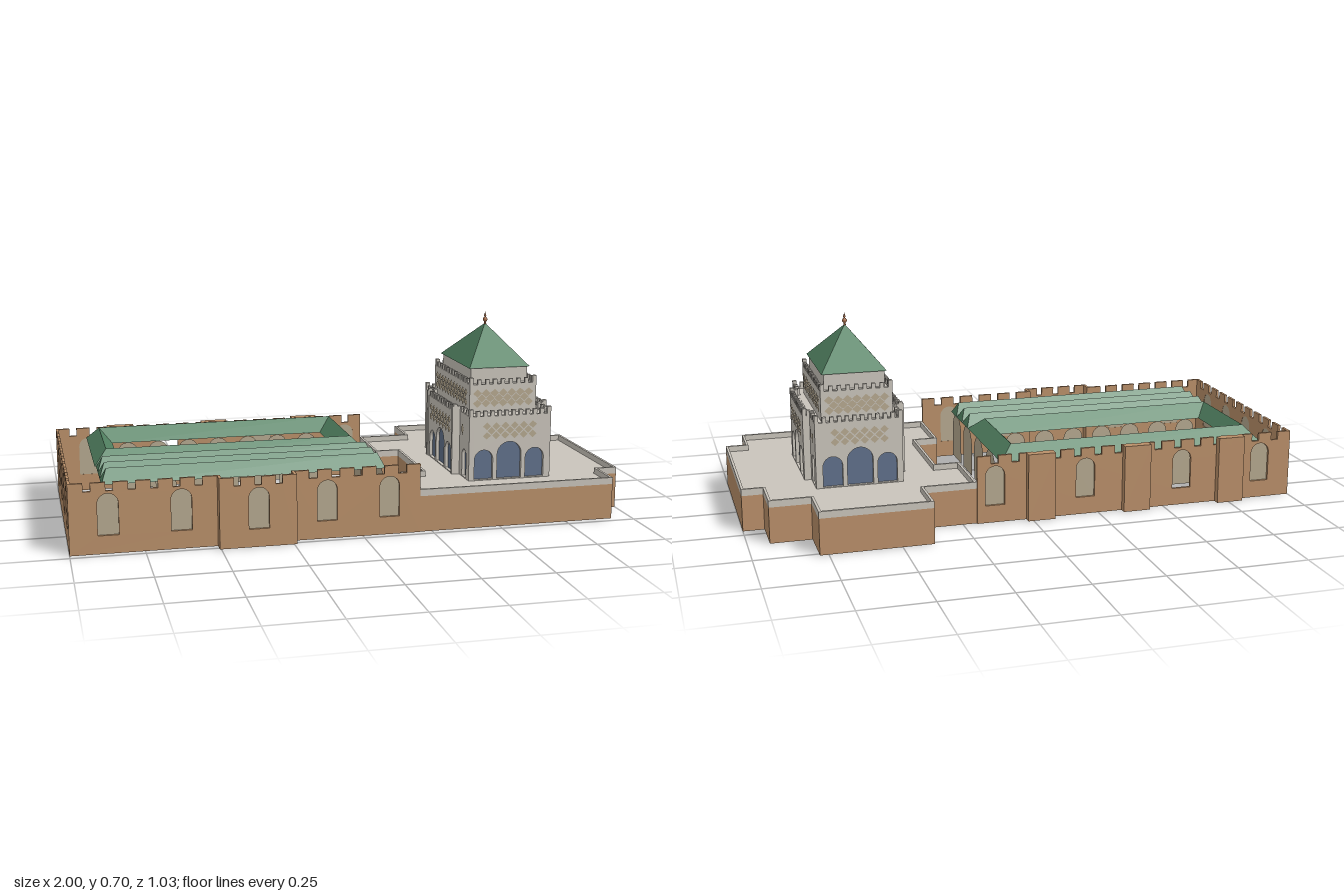
import * as THREE from 'three';

const mat = (name, color, side = THREE.FrontSide) => {
  const m = new THREE.MeshStandardMaterial({ color, side });
  m.name = name;
  return m;
};

export function createModel() {
  const root = new THREE.Group();
  root.name = 'walledMausoleum';
  const clay = mat('clayWall', 0xb98f69);
  const stone = mat('paleStone', 0xc9c4bb, THREE.DoubleSide);
  const sand = mat('sandPanel', 0xb5a88f, THREE.DoubleSide);
  const green = mat('greenTile', 0x528262, THREE.DoubleSide);
  const blue = mat('blueGlazing', 0x60708a);
  const copper = mat('copper', 0xa56c48);

  const add = (name, geo, m, parent = root) => {
    const mesh = new THREE.Mesh(geo, m);
    mesh.name = name;
    parent.add(mesh);
    return mesh;
  };
  const block = (name, m, x0, x1, y0, y1, z0, z1) =>
    add(name, new THREE.BoxGeometry(x1 - x0, y1 - y0, z1 - z0), m)
      .position.set((x0 + x1) / 2, (y0 + y1) / 2, (z0 + z1) / 2);

  // Flat polygons, each split as a fan
  const facets = (polys) => {
    const p = [];
    for (const q of polys)
      for (let i = 1; i < q.length - 1; i++) p.push(...q[0], ...q[i], ...q[i + 1]);
    const g = new THREE.BufferGeometry();
    g.setAttribute('position', new THREE.Float32BufferAttribute(p, 3));
    g.computeVertexNormals();
    return g;
  };

  // Round-headed opening
  const arch = (c, w, y0, y1) => {
    const s = new THREE.Shape();
    s.moveTo(c - w / 2, y0);
    s.lineTo(c + w / 2, y0);
    s.lineTo(c + w / 2, y1 - w / 2);
    s.absarc(c, y1 - w / 2, w / 2, 0, Math.PI, false);
    s.closePath();
    return s;
  };

  // Group whose local +z points along the given side; sign maps world coordinate to local x
  const FACES = {
    front: [0, 1], back: [Math.PI, -1], left: [Math.PI / 2, -1], right: [-Math.PI / 2, 1],
  };
  const onFace = (name, face, plane, centre) => {
    const g = new THREE.Group();
    g.name = name;
    g.rotation.y = FACES[face][0];
    if (face === 'front' || face === 'back') g.position.set(centre, 0, plane);
    else g.position.set(plane, 0, centre);
    root.add(g);
    return g;
  };

  // Crenellated wall from a to b with arched openings [centre, width, bottom, top, isOpen]
  function wall(name, m, face, plane, a, b, y0, y1, o) {
    const c = (a + b) / 2, L = Math.abs(b - a), sign = FACES[face][1];
    const g = onFace(name, face, plane, c);
    const s = new THREE.Shape();
    s.moveTo(-L / 2, y0);
    s.lineTo(L / 2, y0);
    const n = Math.max(2, Math.round(L / o.pitch)), step = (L - o.w) / (n - 1);
    for (let i = 0; i < n && L > o.w * 2; i++) {
      const x = L / 2 - i * step;
      s.lineTo(x, y1);
      s.lineTo(x, y1 + o.h);
      s.lineTo(x - o.w, y1 + o.h);
      s.lineTo(x - o.w, y1);
    }
    if (L <= o.w * 2) {
      s.lineTo(L / 2, y1 + o.h);
      s.lineTo(-L / 2, y1 + o.h);
    }
    s.closePath();
    for (const [p, w, b0, t0, open] of o.arches || []) {
      const hole = arch((p - c) * sign, w, b0, t0);
      s.holes.push(hole);
      if (o.fill && !open)
        add('nichePanel', new THREE.ShapeGeometry(hole), o.fill, g).position.z = -0.009;
    }
    const geo = new THREE.ExtrudeGeometry(s, { depth: o.depth, bevelEnabled: false, curveSegments: 10 });
    add('wallFace', geo.translate(0, 0, -o.depth), m, g);
  }

  // Staggered rows of diamond plates
  function lattice(face, plane, c, y, w, cols, rows, dw, dh) {
    const g = onFace('diamondLattice', face, plane, c), shapes = [];
    for (let r = 0; r < rows; r++) {
      const n = r % 2 ? cols - 1 : cols, pitch = w / cols;
      for (let i = 0; i < n; i++) {
        const x = (i - (n - 1) / 2) * pitch, v = y + (r - (rows - 1) / 2) * dh * 0.62;
        shapes.push(new THREE.Shape([[dw / 2, 0], [0, dh / 2], [-dw / 2, 0], [0, -dh / 2]]
          .map(([u, k]) => new THREE.Vector2(x + u, v + k))));
      }
    }
    add('diamonds', new THREE.ShapeGeometry(shapes), sand, g).position.z = 0.002;
  }

  // Raised platform: hollow clay base, stone floor and low parapet
  const outline = [[0.2, -0.355], [0.39, -0.355], [0.39, -0.515], [0.78, -0.515], [0.78, -0.357],
    [0.925, -0.357], [0.925, -0.21], [1, -0.21], [1, 0.335], [0.925, 0.335], [0.925, 0.472],
    [0.205, 0.472], [0.205, 0.22], [0.29, 0.22], [0.29, -0.107], [0.2, -0.107]]
    .map(([x, z]) => new THREE.Vector2(x, z));
  const inset = (t) => outline.map((p, i) => {
    const n = outline.length;
    const d1 = p.clone().sub(outline[(i + n - 1) % n]).normalize();
    const d2 = outline[(i + 1) % n].clone().sub(p).normalize();
    return new THREE.Vector2(p.x - (d1.y + d2.y) * t, p.y + (d1.x + d2.x) * t);
  });
  const slab = (name, m, y0, y1, outer, ring) => {
    const s = new THREE.Shape(inset(outer));
    if (ring) s.holes.push(new THREE.Path(inset(ring)));
    add(name, new THREE.ExtrudeGeometry(s, { depth: y1 - y0, bevelEnabled: false })
      .rotateX(Math.PI / 2).translate(0, y1, 0), m);
  };
  slab('platformBase', clay, 0, 0.128, 0, 0.006);
  slab('platformFloor', stone, 0.124, 0.131, 0.003);
  slab('platformParapet', stone, 0.128, 0.152, 0, 0.009);

  // Outer enclosure walls
  const outer = (face, plane, a, b, arches, depth = 0.01) =>
    wall('enclosureWall', clay, face, plane, a, b, 0, 0.216,
      { w: 0.05, pitch: 0.075, h: 0.029, depth, fill: sand,
        arches: arches.map(([p, open]) => [p, 0.07, 0.063, 0.207, open]) });
  outer('front', 0.475, -1, -0.505, [[-0.87], [-0.626]]);
  outer('front', 0.515, -0.505, -0.24, [[-0.37]]);
  outer('front', 0.475, -0.24, 0.205, [[-0.126], [0.095]]);
  outer('right', -0.505, 0.465, 0.515, []);
  outer('left', -0.24, 0.465, 0.515, []);
  outer('back', -0.362, -1, 0.2, [[0.135], [-0.2], [-0.57, true], [-0.88]]);
  for (const x of [-0.755, -0.39, -0.03]) outer('back', -0.387, x - 0.05, x + 0.05, [], 0.03);
  outer('right', -1, -0.362, 0.475, [[-0.19], [-0.01], [0.17], [0.35]]);

  // Tiled roof around the courtyard
  const rect = (x0, x1, z0, z1, y) => [[x0, y, z0], [x0, y, z1], [x1, y, z1], [x1, y, z0]];
  const loops = [rect(-0.887, 0.107, -0.34, 0.12, 0.21), rect(-0.842, 0.055, -0.283, 0.065, 0.26),
    rect(-0.797, 0.005, -0.225, 0.01, 0.21)];
  const tiles = [];
  for (let k = 0; k < 2; k++)
    for (let i = 0; i < 4; i++) {
      const j = (i + 1) % 4;
      tiles.push([loops[k][i], loops[k][j], loops[k + 1][j], loops[k + 1][i]]);
    }
  add('courtyardRoof', facets(tiles), green);

  // Parallel ridged roofs of the hall
  const edges = [0.12, 0.203, 0.288, 0.373];
  for (let i = 0; i < 3; i++) {
    const [a, b] = [edges[i], edges[i + 1]], m = (a + b) / 2, x0 = -0.882, x1 = 0.108;
    const r0 = [x0 + 0.02, 0.257, m], r1 = [x1 - 0.02, 0.257, m];
    const e = rect(x0, x1, a, b, 0.21);
    add('hallRoof', facets([[e[1], e[2], r1, r0], [e[3], e[0], r0, r1],
      [e[0], e[1], r0], [e[2], e[3], r1]]), green);
  }

  // Arched arcade panels beneath the roofs
  const arcade = (face, plane, a, b, n, w) => {
    const g = onFace('arcade', face, plane, (a + b) / 2);
    for (let i = 0; i < n; i++)
      add('arcadeArch', new THREE.ShapeGeometry(
        arch((i / (n - 1) - 0.5) * (b - a), w, 0.03, 0.21)), sand, g);
  };
  arcade('front', -0.225, -0.74, -0.05, 7, 0.075);
  arcade('back', 0.012, -0.74, -0.05, 7, 0.075);
  arcade('left', 0.1, -0.175, 0.315, 4, 0.13);

  // Pavilion, lower tier
  const lower = (face, plane, a, b, arches) =>
    wall('pavilionWall', stone, face, plane, a, b, 0.13, 0.367,
      { w: 0.014, pitch: 0.026, h: 0.019, depth: 0.014, arches });
  const X0 = 0.43, X1 = 0.74, Z0 = -0.212, Z1 = 0.328, B0 = 0.405, B1 = 0.765, C0 = -0.1, C1 = 0.22;
  for (const [face, z] of [['front', Z1], ['back', Z0]]) {
    lower(face, z, X0, X1, [[0.486, 0.07, 0.134, 0.243], [0.583, 0.092, 0.134, 0.27],
      [0.68, 0.07, 0.134, 0.243]]);
    lattice(face, z, 0.583, 0.313, 0.21, 6, 3, 0.03, 0.028);
  }
  for (const [face, xm, xb] of [['left', X1, B1], ['right', X0, B0]]) {
    lower(face, xb, C0, C1, [[0.16, 0.067, 0.134, 0.24], [0.063, 0.094, 0.134, 0.272],
      [-0.033, 0.067, 0.134, 0.24]]);
    lower(face, xm, C1, Z1, [[0.273, 0.045, 0.134, 0.237]]);
    lower(face, xm, Z0, C0, [[-0.152, 0.045, 0.134, 0.237]]);
    const a = Math.min(xm, xb) - 0.004, b = Math.max(xm, xb);
    lower('front', C1, a, b, []);
    lower('back', C0, a, b, []);
    lattice(face, xb, 0.063, 0.311, 0.26, 7, 3, 0.033, 0.03);
    for (const z of [0.255, -0.135, -0.175]) lattice(face, xm, z, 0.308, 0.03, 1, 1, 0.026, 0.046);
  }
  block('glazingCore', blue, X0 + 0.012, X1 - 0.012, 0.131, 0.3, Z0 + 0.012, Z1 - 0.012);
  block('glazingBays', blue, B0 + 0.012, B1 - 0.012, 0.131, 0.3, C0 + 0.012, C1 - 0.012);
  block('lowerDeck', stone, X0 + 0.005, X1 - 0.005, 0.35, 0.362, Z0 + 0.005, Z1 - 0.005);
  block('bayDeck', stone, B0 + 0.005, B1 - 0.005, 0.35, 0.361, C0 + 0.005, C1 - 0.005);

  // Pavilion, upper tier
  const U0 = 0.455, U1 = 0.71, V0 = -0.17, V1 = 0.25;
  const upper = (face, plane, a, b) => {
    wall('upperWall', stone, face, plane, a, b, 0.36, 0.468, { w: 0.014, pitch: 0.028, h: 0.018, depth: 0.011 });
    const L = b - a;
    lattice(face, plane, (a + b) / 2, 0.417, L * 0.9, Math.round(L / 0.037), 3, 0.034, 0.03);
  };
  upper('front', V1, U0, U1);
  upper('back', V0, U0, U1);
  upper('left', U1, V0, V1);
  upper('right', U0, V0, V1);
  block('upperDeck', stone, U0 + 0.004, U1 - 0.004, 0.45, 0.464, V0 + 0.004, V1 - 0.004);

  // Taller corner merlons on both tiers
  for (const [x0, x1, z0, z1, y] of [[X0, X1, Z0, Z1, 0.393], [B0, B1, C0, C1, 0.393], [U0, U1, V0, V1, 0.493]])
    for (const x of [x0, x1 - 0.014])
      for (const z of [z0, z1 - 0.014])
        block('cornerMerlon', stone, x, x + 0.014, y - 0.028, y, z, z + 0.014);

  // Drum, pyramid roof and finial
  block('drum', stone, 0.475, 0.691, 0.455, 0.521, -0.132, 0.202);
  const apex = [0.583, 0.66, 0.035], base = rect(0.467, 0.699, -0.138, 0.208, 0.52);
  add('pyramidRoof', facets([...base.map((p, i) => [p, base[(i + 1) % 4], apex]),
    [...base].reverse()]), green);
  const profile = [[0, 0.653], [0.005, 0.656], [0.003, 0.664], [0.008, 0.669], [0.009, 0.674], [0.006, 0.68],
    [0.002, 0.683], [0.005, 0.688], [0.003, 0.692], [0, 0.702]].map(([r, y]) => new THREE.Vector2(r, y));
  add('finial', new THREE.LatheGeometry(profile, 12), copper).position.set(0.583, 0, 0.035);

  return root;
}
